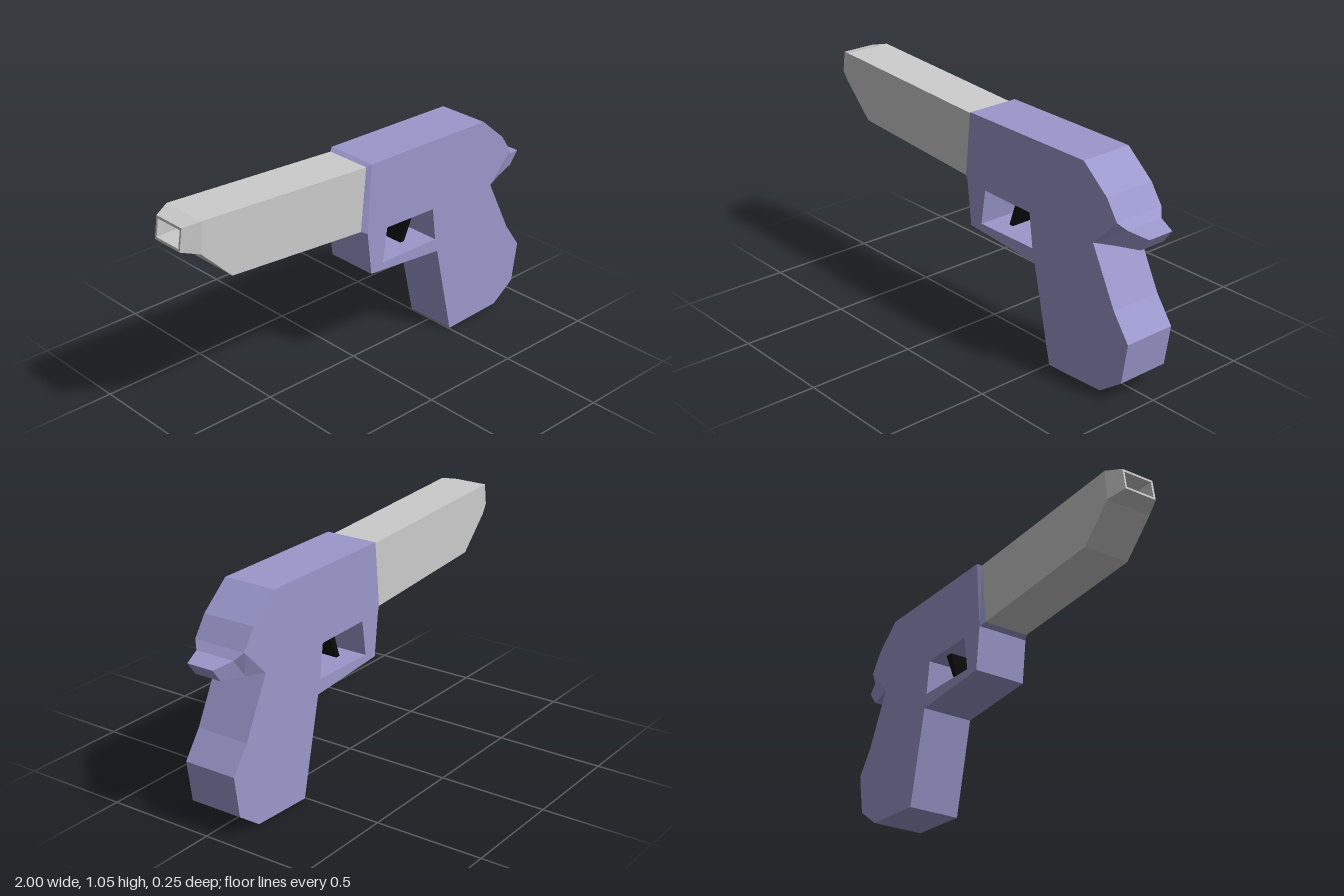
import * as THREE from 'three';

const paint = (color) => new THREE.MeshStandardMaterial({ color, flatShading: true });

// Flat plate cut from a side outline, centred on z = 0
function plate(name, outline, halfWidth, material, hole) {
  const toPoints = (list) => list.map(([x, y]) => new THREE.Vector2(x, y));
  const shape = new THREE.Shape(toPoints(outline));
  if (hole) shape.holes.push(new THREE.Path(toPoints(hole)));
  const geometry = new THREE.ExtrudeGeometry(shape, { depth: halfWidth * 2, bevelEnabled: false });
  geometry.translate(0, 0, -halfWidth);
  const mesh = new THREE.Mesh(geometry, material);
  mesh.name = name;
  return mesh;
}

// Skin over four-cornered sections [topX, topY, bottomX, bottomY, halfWidth], listed towards +x
function loft(name, sections, material) {
  const positions = [];
  const rings = sections.map(([tx, ty, bx, by, w]) => [[bx, by, w], [tx, ty, w], [tx, ty, -w], [bx, by, -w]]);
  const quad = (a, b, c, d) => positions.push(...a, ...b, ...c, ...a, ...c, ...d);
  for (let i = 0; i < rings.length - 1; i++) {
    for (let k = 0; k < 4; k++) {
      const n = (k + 1) % 4;
      quad(rings[i][k], rings[i + 1][k], rings[i + 1][n], rings[i][n]);
    }
  }
  const last = rings[rings.length - 1];
  quad(...rings[0]);
  quad(last[3], last[2], last[1], last[0]);
  const geometry = new THREE.BufferGeometry();
  geometry.setAttribute('position', new THREE.Float32BufferAttribute(positions, 3));
  geometry.computeVertexNormals();
  const mesh = new THREE.Mesh(geometry, material);
  mesh.name = name;
  return mesh;
}

export function createModel() {
  const group = new THREE.Group();
  group.name = 'toyPistol';
  const purple = paint(0x9b98cc);
  const grey = paint(0xcccccc);
  const black = paint(0x0a0a0a);

  // Receiver, grip and trigger guard in one outline
  group.add(plate('body', [
    [-0.01, 1.012], [-0.033, 0.69], [-0.01, 0.485], [0.405, 0.45], [0.505, 0.002],
    [0.815, 0.015], [0.935, 0.1], [0.965, 0.29], [0.88, 0.41], [0.75, 0.67],
    [0.88, 0.8], [0.82, 0.89], [0.685, 1.005],
  ], 0.126, purple, [[0.085, 0.68], [0.37, 0.673], [0.39, 0.515], [0.06, 0.515]]));

  // Chamfered step from the receiver down to the barrel
  group.add(loft('frontCollar', [
    [-0.03, 1.0, -0.06, 0.703, 0.112],
    [-0.01, 1.012, -0.033, 0.69, 0.126],
  ], purple));

  // Tapered spur behind the grip
  group.add(loft('rearSpur', [
    [0.88, 0.8, 0.75, 0.67, 0.126],
    [0.91, 0.768, 0.84, 0.679, 0.095],
    [1.0, 0.75, 0.955, 0.69, 0.065],
  ], purple));

  // Barrel, from the floor of the muzzle recess out over the rim and back to the body
  group.add(loft('barrel', [
    [-0.87, 1.015, -0.87, 0.945, 0.066],
    [-0.986, 1.019, -0.998, 0.941, 0.07],
    [-0.985, 1.03, -1.0, 0.93, 0.08],
    [-0.91, 1.047, -0.92, 0.905, 0.112],
    [-0.91, 1.047, -0.77, 0.755, 0.112],
    [-0.03, 1.0, -0.06, 0.703, 0.112],
  ], grey));

  group.add(plate('trigger', [[0.25, 0.685], [0.203, 0.55], [0.226, 0.55], [0.287, 0.685]], 0.09, black));

  return group;
}
